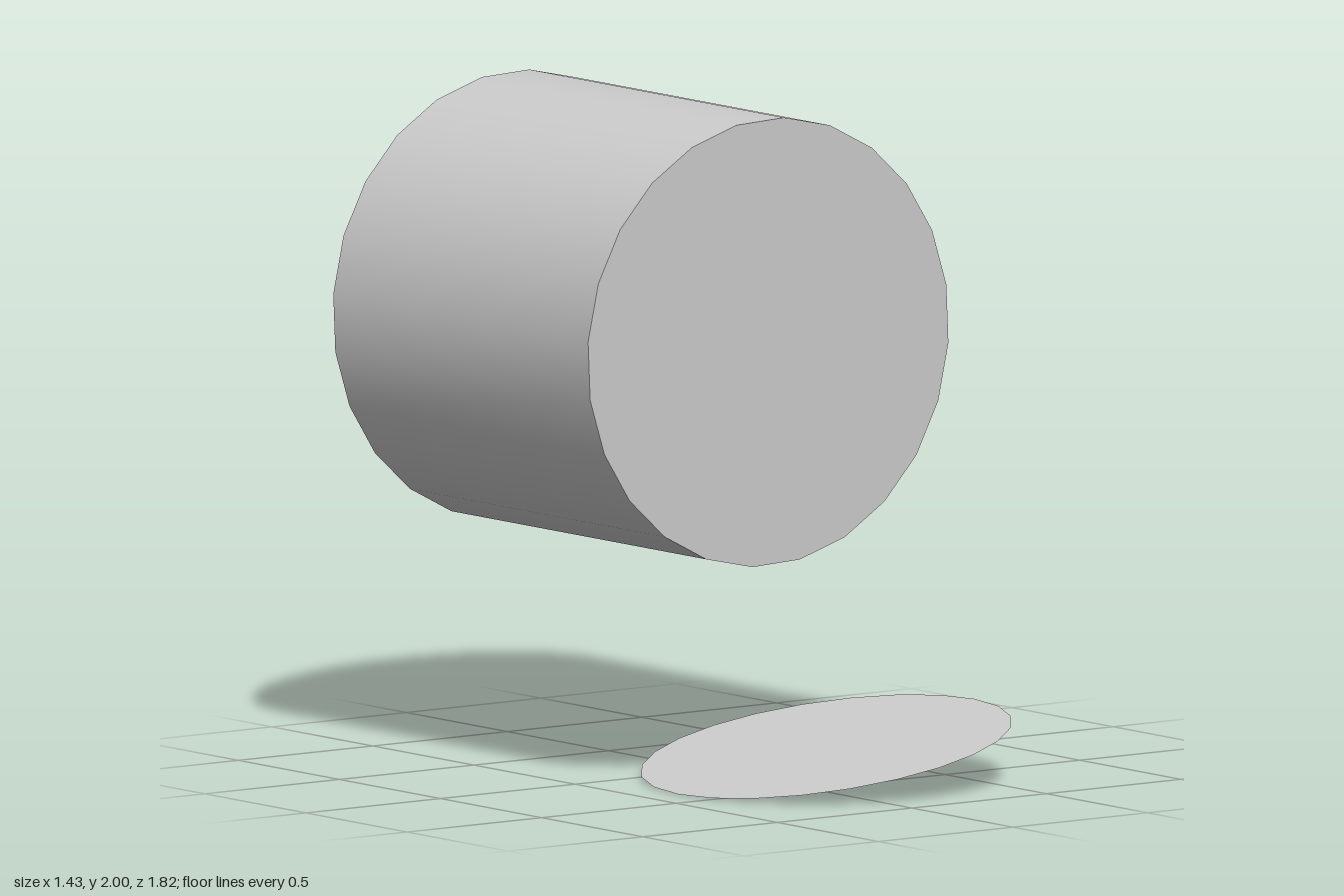
import * as THREE from 'three';
import { toCreasedNormals } from 'three/addons/utils/BufferGeometryUtils.js';

const SIDES = 24;
const RADIUS = 0.672, INNER = 0.56;
const FRONT = 0.35, FLOOR = 0.24, BACK = -0.91, LIP = -0.89;

export function createModel() {
  const model = new THREE.Group();
  const material = new THREE.MeshStandardMaterial({ color: 0xcccccc, side: THREE.DoubleSide });

  // Hollow drum: closed at the front, open at the back, with a slightly dished rim
  const profile = [
    [0, FLOOR], [INNER, FLOOR], [INNER, LIP], [RADIUS, BACK], [RADIUS, FRONT], [0, FRONT],
  ].map(([r, z]) => new THREE.Vector2(r, z));
  const shell = new THREE.LatheGeometry(profile, SIDES, THREE.MathUtils.degToRad(10));
  shell.rotateX(Math.PI / 2); // lay the axis along z
  const drum = new THREE.Mesh(toCreasedNormals(shell, THREE.MathUtils.degToRad(40)), material);
  drum.name = 'drum';
  drum.position.set(-0.045, 1.328, 0);
  model.add(drum);

  // Loose thin disc below the drum, its +x edge raised
  const plate = new THREE.CircleGeometry(0.558, SIDES);
  plate.rotateX(-Math.PI / 2);
  const disc = new THREE.Mesh(plate, material);
  disc.name = 'disc';
  disc.position.set(0.168, 0.097, 0.353);
  disc.rotation.z = THREE.MathUtils.degToRad(9.9);
  model.add(disc);

  return model;
}
